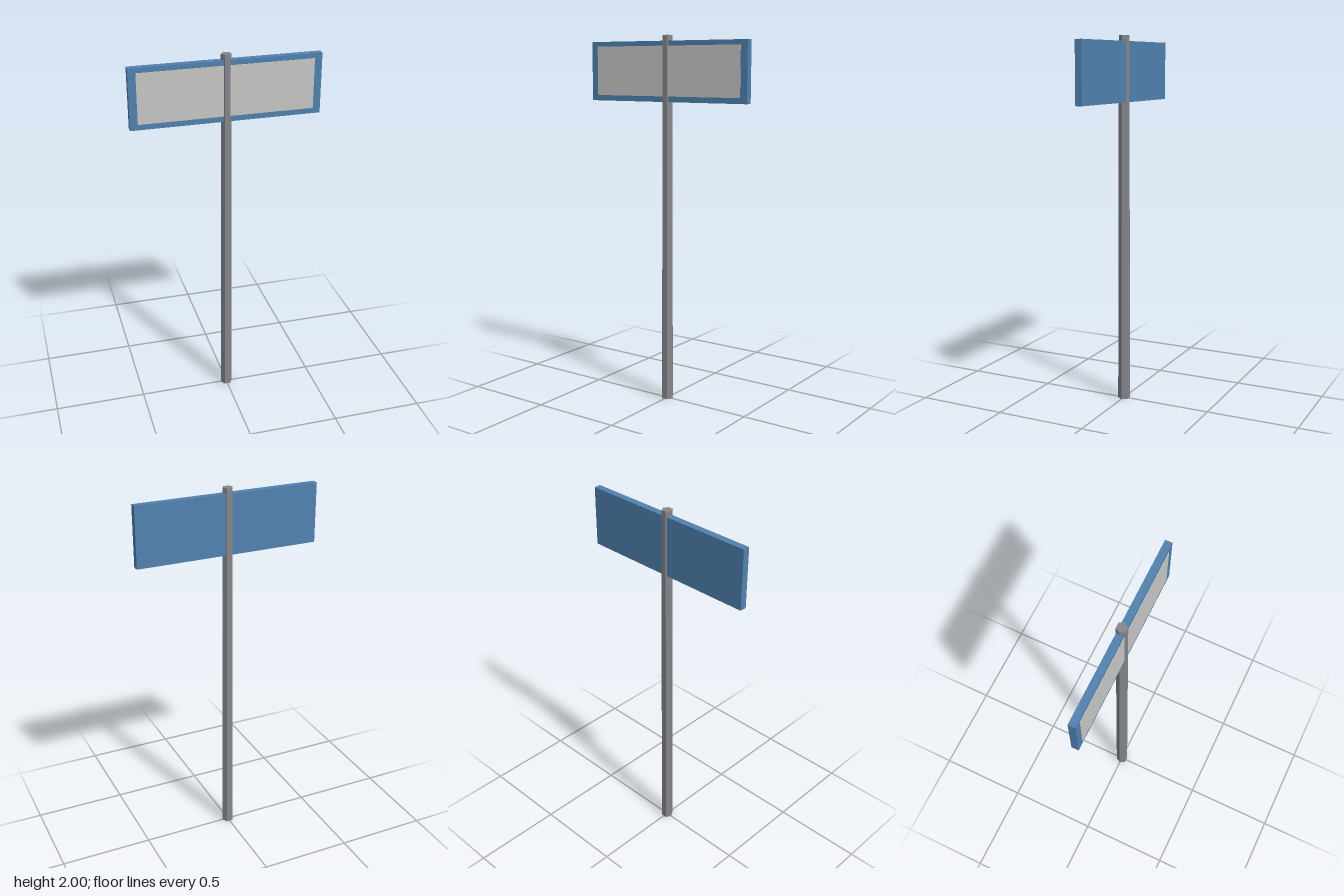
import * as THREE from 'three';

export function createModel() {
  const group = new THREE.Group();
  const material = (name, color) => {
    const m = new THREE.MeshStandardMaterial({ color });
    m.name = name;
    return m;
  };
  const add = (name, geometry, mat, y, z = 0) => {
    const mesh = new THREE.Mesh(geometry, mat);
    mesh.name = name;
    mesh.position.set(0, y, z);
    group.add(mesh);
  };

  const poleGrey = material('pole grey', 0x85878c);
  poleGrey.flatShading = true;
  const signBlue = material('sign blue', 0x5082b0);
  const panelGrey = material('panel light grey', 0xc8c8c5);

  // Slightly tapered six-sided pole, with corners pointing sideways
  const pole = new THREE.CylinderGeometry(0.028, 0.0335, 2, 6);
  pole.rotateY(Math.PI / 6);
  add('pole', pole, poleGrey, 1);

  // Sign board, pierced by the pole
  add('signBoard', new THREE.BoxGeometry(1, 0.32, 0.037), signBlue, 1.81);

  // Thin light panel on the front of the board
  add('signPanel', new THREE.BoxGeometry(0.92, 0.265, 0.003), panelGrey, 1.812, 0.0195);

  return group;
}
